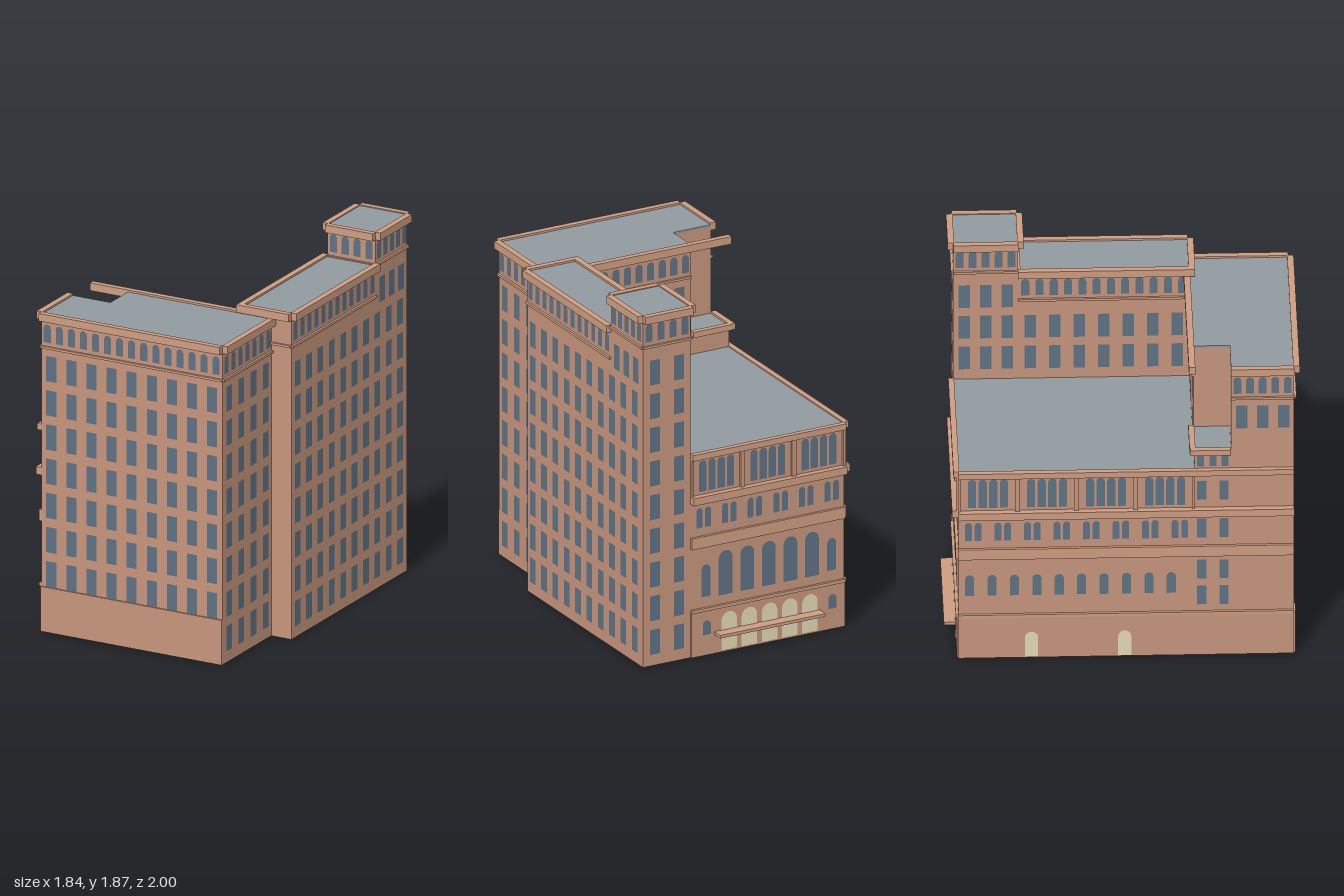
import * as THREE from 'three';
import { mergeGeometries } from 'three/addons/utils/BufferGeometryUtils.js';

const mat = (color, side = THREE.FrontSide) => new THREE.MeshStandardMaterial({ color, side, flatShading: true });

// Plan limits of the blocks (own axes of the building, before it is turned)
const L = -0.558, R1 = 0.466, R2 = 0.58, IN = 0.31;      // left, front wing right, side wing right, side wing inner
const F = 0.856, MID = 0.365, T = -0.48, B = -0.80;      // front, front wing back, tower front, back
const NX = -0.343, NZ = 0.545;                           // light well at the left side
const TURN = { front: 0, right: Math.PI / 2, back: Math.PI, left: -Math.PI / 2 };

export function createModel() {
  const root = new THREE.Group();
  const building = new THREE.Group();
  building.name = 'building';
  building.rotation.y = -0.498;
  root.add(building);
  const parts = {};
  const put = (name, geo) => (parts[name] ??= []).push(geo);

  const box = (name, x0, x1, y0, y1, z0, z1) => put(name,
    new THREE.BoxGeometry(x1 - x0, y1 - y0, z1 - z0).translate((x0 + x1) / 2, (y0 + y1) / 2, (z0 + z1) / 2));

  // Wall block with a thin roof slab
  const block = (x0, x1, z0, z1, h) => {
    box('walls', x0, x1, 0, h - 0.012, z0, z1);
    box('roofs', x0, x1, h - 0.012, h, z0, z1);
  };

  // Horizontal or vertical strip standing proud of a wall; t runs along the wall
  const strip = (name, side, plane, t0, t1, y0, y1, out) => {
    const s = side === 'front' || side === 'right' ? 1 : -1;
    const p0 = Math.min(plane - s * 0.004, plane + s * out), p1 = Math.max(plane - s * 0.004, plane + s * out);
    if (side === 'front' || side === 'back') box(name, t0, t1, y0, y1, p0, p1);
    else box(name, p0, p1, y0, y1, t0, t1);
  };

  // Flat pane on a wall, square or round-headed
  const pane = (name, side, plane, t, y, w, h, arched, off = 0.003) => {
    const s = new THREE.Shape();
    s.moveTo(-w / 2, 0).lineTo(w / 2, 0);
    if (arched) s.lineTo(w / 2, h - w / 2).absarc(0, h - w / 2, w / 2, 0, Math.PI, false);
    else s.lineTo(w / 2, h).lineTo(-w / 2, h);
    const g = new THREE.ShapeGeometry(s, 5).rotateY(TURN[side]);
    const sign = side === 'front' || side === 'right' ? 1 : -1;
    const p = plane + sign * off;
    put(name, side === 'front' || side === 'back' ? g.translate(t, y, p) : g.translate(p, y, t));
  };

  // Even row of n panes between t0 and t1
  const row = (side, plane, t0, t1, n, y, w, h, arched) => {
    for (let i = 0; i < n; i++) pane('windows', side, plane, t0 + (t1 - t0) * (i + 0.5) / n, y, w, h, arched);
  };
  // Storeys of square windows
  const storeys = (side, plane, t0, t1, n, first, last) => {
    for (let k = first; k <= last; k++) row(side, plane, t0, t1, n, 0.06 + 0.179 * k, 0.057, 0.132, false);
  };
  // Arcaded top storey: string course, arches and cornice
  const attic = (side, plane, t0, t1, n, top, sill) => {
    strip('stringCourses', side, plane, t0, t1, sill - 0.012, sill, 0.012);
    strip('cornices', side, plane, t0, t1, top - 0.04, top, 0.028);
    if (n) row(side, plane, t0, t1, n, sill + 0.02, Math.min(0.04, (t1 - t0) / n * 0.62), 0.095, true);
  };

  // Main blocks
  block(NX, R1, MID, F, 1.66);
  block(L, NX, NZ, F, 1.66);
  block(IN, R2, T, MID, 1.70);
  block(IN, R2, B, T, 1.865);
  block(L, IN, B, MID, 1.075);
  block(L, NX, MID, NZ, 1.19);

  // Front wing
  storeys('front', F, L, R1, 9, 1, 7);
  storeys('right', R1, MID, F, 4, 0, 7);
  storeys('back', MID, NX, IN, 5, 6, 7);
  storeys('left', L, NZ, F, 3, 7, 7);
  attic('front', F, L, R1, 15, 1.67, 1.495);
  attic('right', R1, MID, F, 7, 1.67, 1.495);
  attic('back', MID, NX, IN, 10, 1.67, 1.495);
  attic('left', L, NZ, F, 5, 1.67, 1.495);
  strip('cornices', 'back', MID, L, NX, 1.63, 1.67, 0.028);   // cornice bridging the light well
  strip('base', 'front', F, L, R1, 0, 0.235, 0.008);
  strip('base', 'left', L, B, F, 0, 0.235, 0.008);

  // Side wing
  storeys('right', R2, B + 0.02, MID, 10, 0, 7);
  storeys('left', IN, T, MID, 7, 6, 7);
  attic('right', R2, T, MID, 12, 1.71, 1.54);
  attic('left', IN, T, MID, 12, 1.71, 1.54);
  attic('front', MID, R1, R2, 0, 1.71, 1.54);
  strip('cornices', 'front', MID, IN - 0.028, R1, 1.67, 1.71, 0.028);

  // Corner tower
  storeys('right', R2, B + 0.02, T - 0.09 + 0.075, 3, 8, 8);
  storeys('back', B, IN, R2, 2, 0, 8);
  storeys('left', IN, B, T, 3, 6, 8);
  attic('right', R2, B, T, 5, 1.87, 1.705);
  attic('back', B, IN, R2, 4, 1.87, 1.705);
  attic('left', IN, B, T, 5, 1.87, 1.705);
  attic('front', T, IN, R2, 4, 1.87, 1.705);

  // Low hall: bands on the back and along the whole left side
  for (const [y0, y1, out] of [[0.235, 0.252, 0.014], [0.575, 0.635, 0.014], [0.815, 0.855, 0.032], [1.05, 1.082, 0.025]]) {
    strip('hallBands', 'back', B, L, IN, y0, y1, out);
    strip('hallBands', 'left', L, B, F, y0, y1, out);
  }
  strip('base', 'back', B, L, IN, 0, 0.235, 0.008);

  // Upper hall storeys: pilasters, arch groups and window pairs
  const hallSide = (side, plane, t0, t1, bays, pairs) => {
    const d = (t1 - t0) / bays;
    for (let i = 0; i <= bays; i++) {
      const t = t0 + d * i;
      strip('pilasters', side, plane, Math.max(t0, t - 0.012), Math.min(t1, t + 0.012), 0.855, 1.05, 0.012);
      if (i < bays) row(side, plane, t + d * 0.14, t + d * 0.86, 4, 0.872, 0.041, 0.165, true);
    }
    for (let i = 0; i < pairs; i++) {
      const t = t0 + (t1 - t0) * (i + 0.5) / pairs;
      for (const s of [-1, 1]) pane('windows', side, plane, t + s * 0.024, 0.68, 0.034, 0.105, true);
    }
  };
  hallSide('back', B, L, IN, 3, 6);
  hallSide('left', L, B, MID, 4, 8);
  row('left', L, B, MID - 0.06, 10, 0.36, 0.045, 0.12, true);

  // Entrance front with doors, canopy and tall arches
  for (let i = -2; i <= 2; i++) {
    pane('doors', 'back', B, -0.13 + i * 0.114, 0.01, 0.088, 0.2, true, 0.011);
    pane('windows', 'back', B, -0.13 + i * 0.122, 0.3, 0.078, 0.235, true);
  }
  for (const t of [0.225, -0.485]) {
    pane('windows', 'back', B, t, 0.31, 0.05, 0.17, true);
    pane('windows', 'back', B, t, 0.11, 0.045, 0.075, true, 0.011);
  }
  strip('canopy', 'back', B, -0.415, 0.18, 0.1, 0.116, 0.068);
  for (const t of [-0.44, 0.02]) pane('doors', 'left', L, t, 0.005, 0.065, 0.145, true, 0.011);

  // Stair bay below the light well
  for (const y of [0.29, 0.44, 0.68, 0.9]) row('left', L, MID - 0.02, NZ + 0.02, 2, y, 0.045, 0.11, false);
  row('left', L, MID, NZ, 3, 1.095, 0.035, 0.06, false);
  strip('bayCornice', 'left', L, MID - 0.02, NZ, 1.17, 1.2, 0.025);
  strip('bayCornice', 'back', MID, L, NX, 1.17, 1.2, 0.025);

  const wall = mat(0xc6957c), trim = mat(0xcd9d82);
  const materials = {
    walls: wall, base: wall, pilasters: wall, roofs: mat(0x8f9aa0),
    windows: mat(0x5d7284, THREE.DoubleSide), doors: mat(0xe3d9b4, THREE.DoubleSide),
  };
  for (const [name, list] of Object.entries(parts)) {
    const mesh = new THREE.Mesh(mergeGeometries(list), materials[name] ?? trim);
    mesh.name = name;
    building.add(mesh);
  }
  return root;
}
